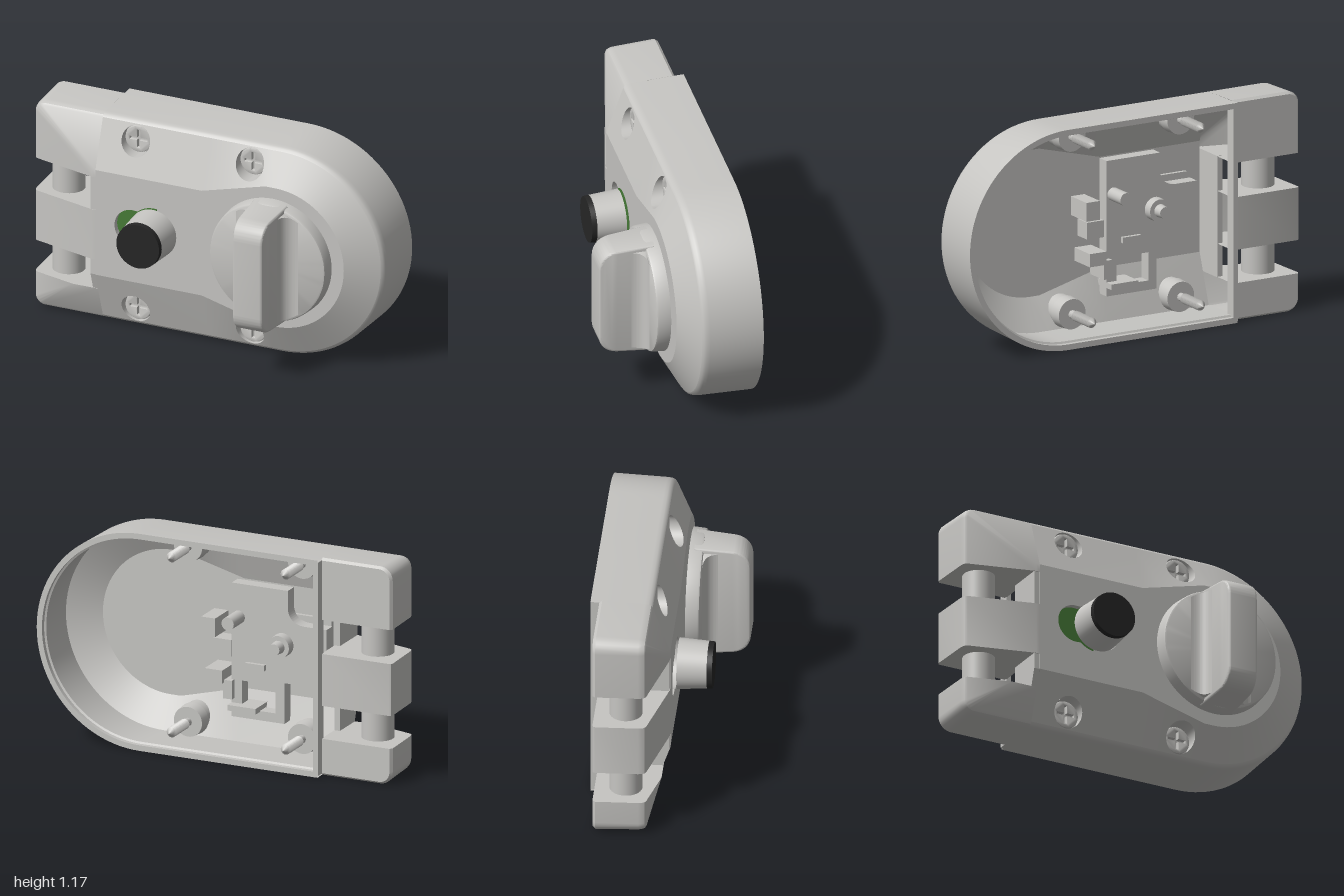
import * as THREE from 'three';
import { toCreasedNormals } from 'three/addons/utils/BufferGeometryUtils.js';
import { ConvexGeometry } from 'three/addons/geometries/ConvexGeometry.js';

const R = 0.585, XC = 0.415, X0 = -0.6, FRONT = 0.04, BACK = -0.37, EDGE = 0.028, WALL = 0.035;
const metal = new THREE.MeshStandardMaterial({ name: 'greyMetal', color: 0xc6c5c2, side: THREE.DoubleSide });
const green = new THREE.MeshStandardMaterial({ name: 'green', color: 0x467b37 });
const black = new THREE.MeshStandardMaterial({ name: 'black', color: 0x262626 });

// distance from the outline at which the flat front begins
const inner = x => x <= 0 ? 0.29 : x >= 0.36 ? 0.195 : 0.29 - 0.095 * x / 0.36;
const slopeZ = (d, x) => -0.05 + (FRONT + 0.05) * (d - EDGE) / (inner(x) - EDGE);
const crease = (g, a = 0.6) => toCreasedNormals(g, a);
const v2 = a => a.map(p => new THREE.Vector2(p[0], p[1]));

function add(parent, name, geo, mat = metal, x = 0, y = 0, z = 0) {
  const m = new THREE.Mesh(geo, mat);
  m.name = name;
  m.position.set(x, y, z);
  parent.add(m);
  return m;
}
function extrude(pts, depth, holes = [], opts = {}) {
  const s = Array.isArray(pts) ? new THREE.Shape(v2(pts)) : pts;
  s.holes.push(...holes);
  return new THREE.ExtrudeGeometry(s, { depth, bevelEnabled: false, curveSegments: 24, ...opts });
}
function rod(rFront, rBack, z0, z1, seg = 40) {
  return new THREE.CylinderGeometry(rFront, rBack, z1 - z0, seg).rotateX(Math.PI / 2).translate(0, 0, (z0 + z1) / 2);
}
function reshape(g, rule) {
  const p = g.attributes.position, v = new THREE.Vector3();
  for (let i = 0; i < p.count; i++) {
    v.fromBufferAttribute(p, i);
    rule(v);
    p.setXYZ(i, v.x, v.y, v.z);
  }
  g.computeVertexNormals();
  return g;
}
// drops the faces lying at x = X0, leaving a shell open to the case
function openEnd(g) {
  const p = g.attributes.position, keep = [];
  for (let i = 0; i < p.count; i += 3) {
    const tri = [i, i + 1, i + 2];
    if (tri.some(k => p.getX(k) < X0 - 0.001)) tri.forEach(k => keep.push(p.getX(k), p.getY(k), p.getZ(k)));
  }
  const out = new THREE.BufferGeometry();
  out.setAttribute('position', new THREE.Float32BufferAttribute(keep, 3));
  return crease(out, 0.5);
}

// U-shaped path: top straight, half circle, bottom straight
const arcPath = [], uPath = [];
for (let i = 0; i <= 48; i++) arcPath.push({ x: XC, t: Math.PI * i / 48 });
const stations = [X0, 0, 0.12, 0.24, 0.36];
stations.forEach(x => uPath.push({ x, t: 0 }));
uPath.push(...arcPath);
[...stations].reverse().forEach(x => uPath.push({ x, t: Math.PI }));

function sweep(path, profile) {
  const pos = [], idx = [], n = profile.length;
  path.forEach((s, i) => profile.forEach(([d, z], j) => {
    pos.push(s.x + (R - d) * Math.sin(s.t), (R - d) * Math.cos(s.t), z);
    if (i && j) {
      const c = i * n + j, a = c - n - 1, v = c - n, u = c - 1;
      idx.push(a, v, u, v, c, u);
    }
  }));
  const g = new THREE.BufferGeometry();
  g.setAttribute('position', new THREE.Float32BufferAttribute(pos, 3));
  g.setIndex(idx);
  g.computeVertexNormals();
  return crease(g);
}

// one panel of the sloped side between xa and xb, with smooth normals
function slopePanel(xa, xb, holeX) {
  const s = new THREE.Shape(v2([[xa, R - EDGE], [xa, R - inner(xa)], [xb, R - inner(xb)], [xb, R - EDGE]]));
  if (holeX !== undefined) s.holes.push(new THREE.Path().absarc(holeX, 0.472, 0.08, 0, Math.PI * 2, true));
  const g = reshape(new THREE.ShapeGeometry(s, 32), v => { v.z = slopeZ(R - v.y, v.x); });
  const p = g.attributes.position, n = new THREE.Vector3(), e = 0.002;
  for (let i = 0; i < p.count; i++) {
    const x = p.getX(i), d = R - p.getY(i);
    n.set((slopeZ(d, x - e) - slopeZ(d, x + e)) / (2 * e), (slopeZ(d + e, x) - slopeZ(d, x)) / e, 1).normalize();
    g.attributes.normal.setXYZ(i, n.x, n.y, n.z);
  }
  return g;
}

function makeCase(body) {
  add(body, 'outerWall', sweep(uPath, [[0, BACK], [0.008, -0.09], [0.011, -0.072], [0.017, -0.058], [EDGE, -0.05]]));
  add(body, 'roundSlope', sweep(arcPath, [[EDGE, -0.05], [0.195, FRONT]]));
  add(body, 'innerRoundSlope', sweep(arcPath, [[0.195, FRONT - WALL], [EDGE, -0.05 - WALL]]));
  add(body, 'innerWall', sweep(uPath, [[EDGE, -0.05 - WALL], [0.04, -0.34], [0.03, -0.345], [0.03, BACK], [0, BACK]]));

  // sloped sides with screw holes, outer and inner skin
  for (const [xa, xb, hole] of [[X0, 0, -0.4], [0, 0.12], [0.12, 0.36, 0.25], [0.36, XC]]) {
    const panel = slopePanel(xa, xb, hole);
    for (const side of [1, -1]) {
      add(body, 'sideSlope', panel).scale.y = side;
      add(body, 'innerSideSlope', panel, metal, 0, 0, -WALL).scale.y = side;
    }
  }

  // flat front with the button slot
  const top = stations.map(x => [x, R - inner(x)]);
  const arc = arcPath.map(s => [XC + 0.39 * Math.sin(s.t), 0.39 * Math.cos(s.t)]);
  const bottom = top.map(([x, y]) => [x, -y]).reverse();
  const slot = new THREE.Path();
  slot.absarc(-0.27, 0.007, 0.135, -2.3, 2.3, false);
  slot.absarc(-0.39, 0.007, 0.102, Math.PI / 2, Math.PI * 1.5, false);
  slot.closePath();
  add(body, 'frontPlate', crease(extrude([...top, ...arc, ...bottom], WALL, [slot]).translate(0, 0, FRONT - WALL)));
  add(body, 'slotMarker', new THREE.BoxGeometry(0.24, 0.25, 0.006), green, -0.39, 0.007, 0.005);
  add(body, 'slotBacking', new THREE.BoxGeometry(0.38, 0.29, 0.02), metal, -0.32, 0.007, -0.009);

  // back rail beside the hinge, and the wall along the notches
  add(body, 'backRail', new THREE.BoxGeometry(0.028, 1.15, 0.06), metal, -0.59, 0, BACK + 0.03);
  const lip = [[-0.17, -0.39], [0.004, -0.39], [0.036, -0.295], [0.036, 0.255], [-0.17, 0.255]];
  add(body, 'notchLip', extrude(lip, 0.03).rotateY(-Math.PI / 2).translate(X0, 0, 0));
}

// hollow end knuckle with a rounded corner, reaching inward to y0
function endKnuckle(y0) {
  const pts = [], r = 0.07, put = (x, y, z) => pts.push(new THREE.Vector3(x, y, z));
  for (const [d, z] of [[0.012, -0.325], [0, -0.31], [0.008, -0.09], [0.011, -0.072], [0.017, -0.058], [EDGE, -0.05]]) {
    put(X0, R - d, z);
    put(X0, y0, z);
    put(d - 1, y0, z);
    for (let i = 0; i <= 8; i++) {
      const a = Math.PI / 2 * (1 + i / 8);
      put(r - 1 + (r - d) * Math.cos(a), R - r + (r - d) * Math.sin(a), z);
    }
  }
  // ridge where the two slopes meet
  const t = Math.min(1, (0.557 - y0) / 0.262), yr = Math.max(y0, 0.295);
  for (const x of [-0.972 + 0.352 * t, X0]) for (const y of [yr, y0]) put(x, y, -0.05 + 0.09 * t);
  return openEnd(new ConvexGeometry(pts));
}

function makeHinge(body) {
  const section = [[X0, -0.325], [-0.985, -0.325], [-0.996, -0.32], [-1, -0.31], [-0.992, -0.09],
    [-0.989, -0.072], [-0.983, -0.058], [-0.972, -0.05], [-0.62, FRONT], [X0, FRONT]];
  add(body, 'middleKnuckle', openEnd(extrude(section, 0.28).rotateX(Math.PI / 2).translate(0, 0.07, 0)));
  add(body, 'upperKnuckle', endKnuckle(0.253));
  add(body, 'lowerKnuckle', endKnuckle(0.387)).scale.y = -1;
  add(body, 'hingePin', new THREE.CylinderGeometry(0.085, 0.085, 0.9, 40), metal, -0.845, 0, -0.165);
}

function makeScrew(parent, x, y) {
  const g = new THREE.Group();
  g.name = 'screw';
  g.position.set(x, y, 0);
  parent.add(g);
  // recess following the slope
  const cup = new THREE.CylinderGeometry(0.08, 0.08, 1, 40, 1, true).rotateX(Math.PI / 2);
  add(g, 'recess', reshape(cup, v => { v.z = v.z < 0 ? -0.1 : slopeZ(R - Math.abs(y + v.y), x + v.x); }));
  // head with a cross cut
  const a = 0.055, b = 0.013;
  const cross = [[a, b], [b, b], [b, a], [-b, a], [-b, b], [-a, b], [-a, -b], [-b, -b], [-b, -a], [b, -a], [b, -b], [a, -b]];
  const disc = new THREE.Shape().absarc(0, 0, 0.068, 0, Math.PI * 2);
  add(g, 'head', crease(extrude(disc, 0.016, [new THREE.Path(v2(cross))], { bevelEnabled: true, bevelSize: 0.006, bevelThickness: 0.006, bevelSegments: 2 }).translate(0, 0, -0.072)));
  add(g, 'boss', rod(0.085, 0.08, -0.14, -0.075));
  // threaded shaft
  const thread = [[0, -0.365], [0.012, -0.35]];
  for (let i = 0; i < 12; i++) thread.push([0.018, -0.34 + i * 0.014], [0.028, -0.333 + i * 0.014]);
  thread.push([0.022, -0.17], [0.022, -0.13]);
  add(g, 'shaft', crease(new THREE.LatheGeometry(v2(thread), 16).rotateX(Math.PI / 2)));
}

function makeKnob(body) {
  const g = new THREE.Group();
  g.name = 'thumbTurn';
  g.position.set(0.41, 0.003, 0);
  body.add(g);
  const rim = [[0, 0.052], [0.332, 0.052], [0.327, 0.112], [0.323, 0.121], [0.315, 0.125], [0, 0.125]];
  add(g, 'disc', crease(new THREE.LatheGeometry(v2(rim), 72).rotateX(Math.PI / 2)));
  const s = new THREE.Shape();
  s.moveTo(0.09, -0.31);
  s.lineTo(0.27, -0.296);
  s.bezierCurveTo(0.33, -0.29, 0.353, -0.25, 0.353, -0.2);
  s.lineTo(0.353, 0.2);
  s.bezierCurveTo(0.353, 0.25, 0.33, 0.29, 0.27, 0.296);
  s.lineTo(0.09, 0.31);
  const grip = extrude(s, 0.14, [], { bevelEnabled: true, bevelSize: 0.014, bevelThickness: 0.014, bevelSegments: 4 })
    .rotateY(-Math.PI / 2).translate(0.07, 0, 0);
  add(g, 'grip', crease(reshape(grip, v => { v.x *= 1 + (0.36 - v.z) * 0.6; })));
  // curved foot on each side of the grip, trimmed to the disc
  const f = new THREE.Shape();
  f.moveTo(0.06, 0.12);
  f.lineTo(0.175, 0.126);
  f.quadraticCurveTo(0.094, 0.13, 0.09, 0.22);
  f.lineTo(0.06, 0.22);
  const foot = extrude(f, 0.54).rotateX(Math.PI / 2).translate(0, 0.27, 0);
  reshape(foot, v => { v.y = Math.sign(v.y) * Math.sqrt((0.325 - 0.1 * v.z) ** 2 - v.x * v.x); });
  for (const side of [1, -1]) add(g, 'gripFoot', crease(foot)).scale.x = side;
}

function makeInside(body) {
  // latch plate with rounded cutouts
  const s = new THREE.Shape();
  s.moveTo(-0.52, -0.2);
  s.lineTo(-0.28, -0.2);
  s.lineTo(-0.28, -0.42);
  s.lineTo(0.02, -0.42);
  s.lineTo(0.02, 0.3);
  s.lineTo(-0.3, 0.3);
  s.lineTo(-0.3, 0.2);
  s.quadraticCurveTo(-0.31, 0.12, -0.4, 0.12);
  s.lineTo(-0.52, 0.12);
  const win = new THREE.Path(v2([[-0.23, -0.37], [-0.04, -0.37], [-0.04, -0.22], [-0.23, -0.22]]));
  add(body, 'latchPlate', crease(extrude(s, 0.07, [win]).translate(0, 0, -0.1)));
  const blocks = [[0.13, 0.06, 0.08, 0.1, 0.16], [0.08, -0.06, 0.1, 0.09, 0.1], [0.1, -0.2, 0.1, 0.07, 0.16],
    [0.03, -0.27, 0.05, 0.1, 0.14], [-0.12, -0.13, 0.11, 0.03, 0.13], [-0.06, -0.36, 0.16, 0.03, 0.16]];
  for (const [x, y, w, h, d] of blocks) add(body, 'latchBlock', new THREE.BoxGeometry(w, h, d), metal, x, y, 0.01 - d / 2);
  add(body, 'post', rod(0.035, 0.035, -0.23, -0.05, 24), metal, -0.02, 0.12);
  add(body, 'buttonStem', rod(0.065, 0.06, -0.15, 0), metal, -0.27, 0.007);
  add(body, 'buttonStemTip', rod(0.035, 0.03, -0.2, -0.15, 24), metal, -0.27, 0.007);
}

export function createModel() {
  const model = new THREE.Group();
  model.name = 'doorLock';
  const body = new THREE.Group();
  body.name = 'body';
  body.position.y = R;
  model.add(body);
  makeCase(body);
  makeHinge(body);
  for (const x of [-0.4, 0.25]) for (const y of [0.472, -0.472]) makeScrew(body, x, y);
  makeKnob(body);
  makeInside(body);
  // push button
  add(body, 'button', rod(0.123, 0.133, 0.052, 0.206, 48), metal, -0.27, 0.007);
  add(body, 'buttonCap', rod(0.121, 0.123, 0.206, 0.234, 48), black, -0.27, 0.007);
  return model;
}
